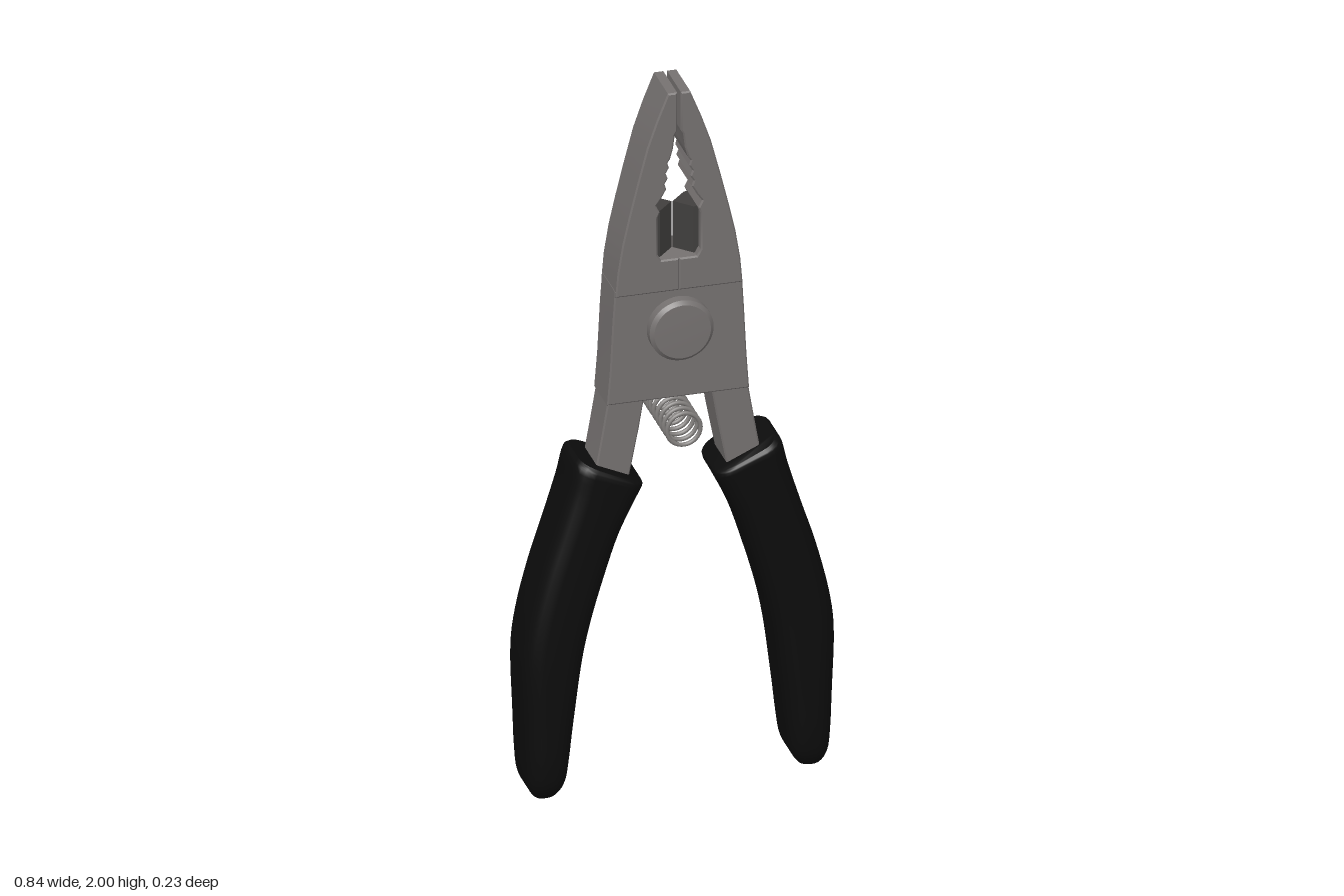
import * as THREE from 'three';
import { toCreasedNormals } from 'three/addons/utils/BufferGeometryUtils.js';

const steel = new THREE.MeshStandardMaterial({ color: 0x757170 });
steel.name = 'steel';
const darkSteel = new THREE.MeshStandardMaterial({ color: 0x403e3d });
darkSteel.name = 'dark steel';
const springSteel = new THREE.MeshStandardMaterial({ color: 0x807d7b });
springSteel.name = 'spring steel';
const rubber = new THREE.MeshStandardMaterial({ color: 0x0c0c0c });
rubber.name = 'black rubber';

function add(parent, name, geometry, material) {
  const mesh = new THREE.Mesh(geometry, material);
  mesh.name = name;
  parent.add(mesh);
  return mesh;
}

// Flat outline in the front plane, thickened evenly to both sides, edges slightly eased
function slab(points, half, side = 1, bevel = 0.004) {
  const shape = new THREE.Shape(points.map(([x, y]) => new THREE.Vector2(x * side, y)));
  const geo = new THREE.ExtrudeGeometry(shape, {
    depth: 2 * (half - bevel), bevelEnabled: bevel > 0, bevelSize: bevel,
    bevelThickness: bevel, bevelOffset: -bevel, bevelSegments: 1,
  });
  geo.translate(0, 0, -(half - bevel));
  return toCreasedNormals(geo, 0.5);
}

// Grip: rounded rectangles lofted between an inner and an outer edge curve
function gripGeometry(side) {
  // inner x, inner y, outer x, outer y, half thickness
  const stations = [
    [0.105, 0.898, 0.264, 0.970, 0.092],
    [0.096, 0.886, 0.276, 0.960, 0.100],
    [0.117, 0.840, 0.296, 0.885, 0.100],
    [0.160, 0.750, 0.333, 0.765, 0.100],
    [0.200, 0.630, 0.370, 0.650, 0.100],
    [0.237, 0.500, 0.405, 0.510, 0.100],
    [0.258, 0.400, 0.418, 0.410, 0.100],
    [0.280, 0.230, 0.414, 0.230, 0.098],
    [0.294, 0.110, 0.409, 0.110, 0.095],
    [0.304, 0.050, 0.402, 0.045, 0.086],
    [0.325, 0.014, 0.385, 0.012, 0.064],
    [0.345, 0.001, 0.365, 0.001, 0.040],
  ];
  const inner = new THREE.CatmullRomCurve3(stations.map((s) => new THREE.Vector3(s[0], s[1], s[4])));
  const outer = new THREE.CatmullRomCurve3(stations.map((s) => new THREE.Vector3(s[2], s[3], s[4])));
  const rows = 44, corner = 6, n = 4 * corner;
  const pos = [], index = [];
  for (let i = 0; i <= rows; i++) {
    const a = inner.getPoint(i / rows), b = outer.getPoint(i / rows);
    const mid = a.clone().lerp(b, 0.5), half = a.distanceTo(b) / 2;
    const dir = b.clone().sub(a).normalize();
    const hz = Math.min(a.z, 0.1), r = Math.min(0.05, half * 0.8, hz * 0.8);
    for (let q = 0; q < 4; q++) {
      for (let k = 0; k < corner; k++) {
        const t = (q + k / (corner - 1)) * Math.PI / 2;
        const u = (q === 0 || q === 3 ? 1 : -1) * (half - r) + r * Math.cos(t);
        const z = (q < 2 ? 1 : -1) * (hz - r) + r * Math.sin(t);
        pos.push(side * (mid.x + dir.x * u), mid.y + dir.y * u, z);
      }
    }
  }
  const tri = (a, b, c) => (side > 0 ? index.push(a, b, c) : index.push(a, c, b));
  for (let i = 0; i < rows; i++) {
    for (let k = 0; k < n; k++) {
      const a = i * n + k, b = i * n + (k + 1) % n;
      tri(a, b, b + n);
      tri(a, b + n, a + n);
    }
  }
  // End caps
  for (let k = 1; k < n - 1; k++) {
    tri(0, k + 1, k);
    tri(rows * n, rows * n + k, rows * n + k + 1);
  }
  const geo = new THREE.BufferGeometry();
  geo.setAttribute('position', new THREE.Float32BufferAttribute(pos, 3));
  geo.setIndex(index);
  return toCreasedNormals(geo, 0.75);
}

export function createModel() {
  const model = new THREE.Group();
  model.name = 'pliers';

  // Jaw outline: curved back, toothed gripping edge, wire-cutting window
  const jaw = [
    [0, 1.43], [0.171, 1.43], [0.165, 1.50], [0.152, 1.58], [0.134, 1.66],
    [0.112, 1.75], [0.086, 1.85], [0.06, 1.925], [0.03, 2],
    [0.005, 2], [0.005, 1.89], [0.011, 1.88], [0.016, 1.84], [0.024, 1.81],
    [0.031, 1.80], [0.027, 1.785], [0.036, 1.77], [0.030, 1.755], [0.039, 1.74],
    [0.034, 1.725], [0.048, 1.70], [0.062, 1.68], [0.052, 1.66], [0.058, 1.645],
    [0.058, 1.54], [0.048, 1.522], [0, 1.522],
  ];
  // Shank running from the joint into the grip
  const shank = [[0.085, 1.16], [0.185, 1.16], [0.19, 1.12], [0.205, 1.03], [0.228, 0.90], [0.14, 0.86], [0.105, 1.04]];

  for (const side of [1, -1]) {
    const half = new THREE.Group();
    half.name = side > 0 ? 'leftHalf' : 'rightHalf';
    model.add(half);
    add(half, 'jaw', slab(jaw, 0.068, side), steel);
    add(half, 'shank', slab(shank, 0.057, side), steel);
    add(half, 'grip', gripGeometry(side), rubber);

    // Cutting blade: wedge meeting its twin in the middle of the window
    const wedge = new THREE.Shape([
      new THREE.Vector2(side * 0.002, 0), new THREE.Vector2(side * 0.045, 0.045),
      new THREE.Vector2(side * 0.062, 0.045), new THREE.Vector2(side * 0.062, -0.045),
      new THREE.Vector2(side * 0.045, -0.045),
    ]);
    const blade = new THREE.ExtrudeGeometry(wedge, { depth: 0.135, bevelEnabled: false });
    blade.rotateX(-Math.PI / 2).translate(0, 1.52, 0);
    add(half, 'cuttingBlade', blade, darkSteel);
  }

  // Joint plate
  const joint = [[-0.192, 1.12], [0.19, 1.12], [0.183, 1.22], [0.176, 1.36], [0.171, 1.445], [-0.171, 1.445], [-0.177, 1.36], [-0.184, 1.22]];
  add(model, 'jointPlate', slab(joint, 0.063), steel);

  // Pivot rivet with eased rims
  const rivet = [[0, -0.103], [0.076, -0.1], [0.086, -0.09], [0.086, 0.09], [0.076, 0.1], [0, 0.103]];
  const rivetGeo = new THREE.LatheGeometry(rivet.map(([r, y]) => new THREE.Vector2(r, y)), 40);
  rivetGeo.rotateX(Math.PI / 2);
  add(model, 'pivotRivet', toCreasedNormals(rivetGeo, 0.5), steel).position.set(0, 1.325, 0);

  // Return spring coils below the joint
  const spring = new THREE.Group();
  spring.name = 'returnSpring';
  model.add(spring);
  const coils = 8;
  for (let i = 0; i < coils; i++) {
    const coil = add(spring, 'springCoil', new THREE.TorusGeometry(0.045, 0.006, 8, 32), springSteel);
    coil.position.set(0, 1.05, -0.11 + 0.22 * i / (coils - 1));
  }
  return model;
}
